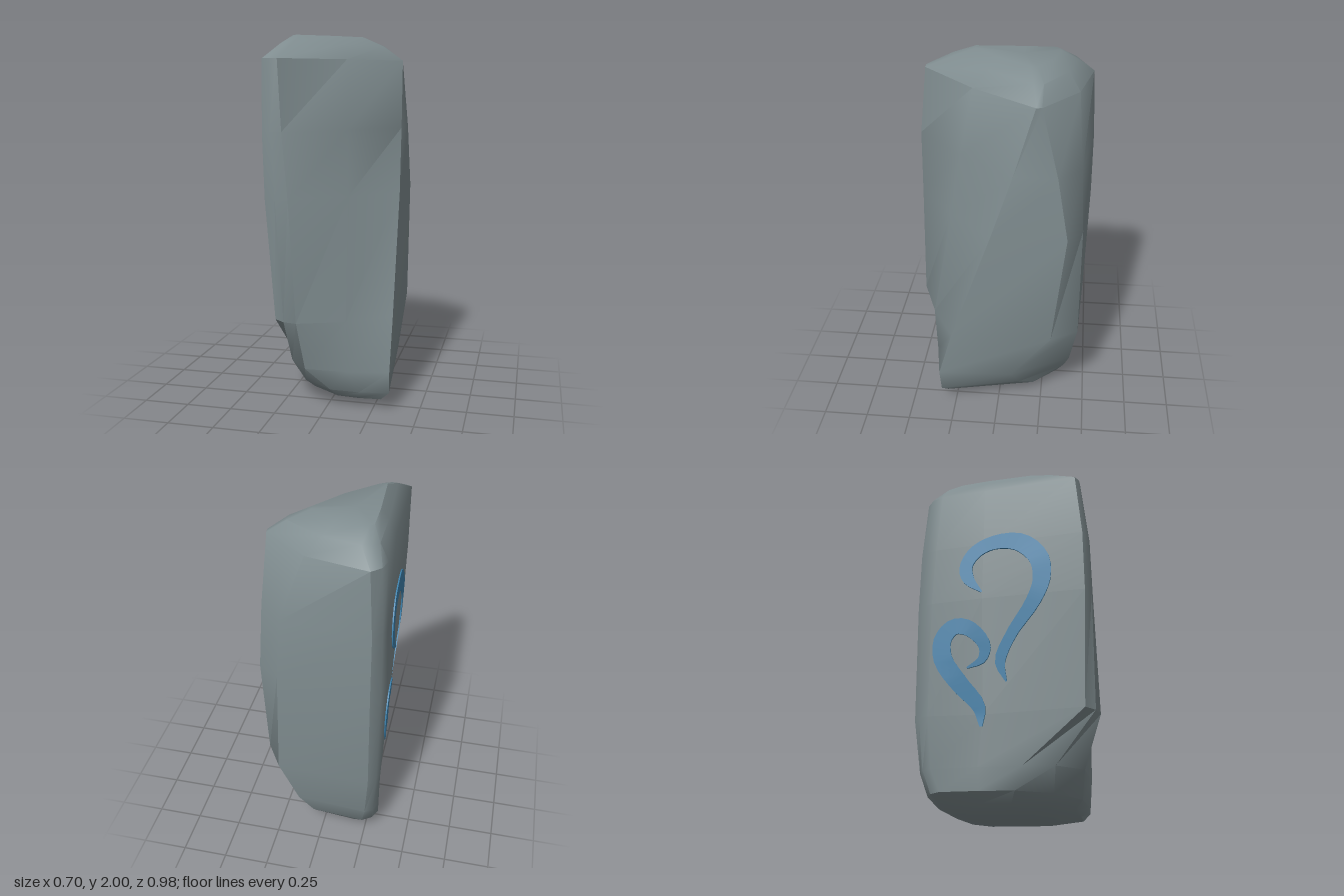
import * as THREE from 'three';
import { toCreasedNormals } from 'three/addons/utils/BufferGeometryUtils.js';

// Stone cross-sections, bottom to top: height, then eight [x, z] corners
// running from the back left, along the back, right, front and left sides
const SECTIONS = [
  [0.05, [[-0.25, -0.28], [-0.18, -0.36], [0.05, -0.34], [0.18, -0.2], [0.29, 0.3], [0.05, 0.3], [-0.2, 0.03], [-0.23, -0.12]]],
  [0.1, [[-0.32, -0.31], [-0.24, -0.4], [0.06, -0.38], [0.24, -0.12], [0.34, 0.33], [0.02, 0.35], [-0.25, 0.06], [-0.29, -0.12]]],
  [0.22, [[-0.325, -0.36], [-0.26, -0.44], [0.14, -0.41], [0.32, -0.08], [0.343, 0.34], [-0.11, 0.39], [-0.26, 0.1], [-0.295, -0.12]]],
  [0.5, [[-0.335, -0.385], [-0.28, -0.475], [0.24, -0.45], [0.335, -0.3], [0.345, 0.26], [-0.13, 0.487], [-0.26, 0.43], [-0.285, -0.1]]],
  [1.15, [[-0.35, -0.385], [-0.28, -0.49], [0.22, -0.45], [0.335, -0.37], [0.338, 0.035], [-0.17, 0.48], [-0.3, 0.46], [-0.34, -0.1]]],
  [1.5, [[-0.338, -0.38], [-0.28, -0.488], [0.2, -0.43], [0.325, -0.31], [0.325, -0.08], [-0.2, 0.48], [-0.31, 0.46], [-0.33, -0.1]]],
  [1.87, [[-0.325, -0.36], [-0.26, -0.47], [0.07, -0.4], [0.305, -0.22], [0.31, -0.19], [-0.23, 0.445], [-0.315, 0.43], [-0.32, -0.1]]],
  [1.95, [[-0.28, -0.34], [-0.2, -0.38], [0, -0.34], [0.2, -0.22], [0.2, -0.17], [-0.2, 0.28], [-0.26, 0.29], [-0.28, -0.1]]],
];

// Edges that swell outward: [first corner, swell as a share of the edge length]
const SWELLS = new Map([[0, 0.14], [4, 0.04], [5, 0.12]]);

// Swirls: [z, y, width] along each centre line
const STROKES = {
  upperSwirl: [[-0.1, 1.188, 0.008], [-0.18, 1.28, 0.065], [-0.195, 1.366, 0.075], [-0.14, 1.455, 0.085],
    [-0.035, 1.5, 0.09], [0.11, 1.482, 0.11], [0.215, 1.371, 0.11], [0.23, 1.234, 0.095],
    [0.18, 1.104, 0.08], [0.058, 0.927, 0.06], [-0.004, 0.78, 0.055], [0.027, 0.666, 0.008]],
  lowerSwirl: [[-0.18, 0.754, 0.008], [-0.1, 0.8, 0.045], [-0.087, 0.877, 0.065], [-0.162, 0.972, 0.085],
    [-0.25, 0.995, 0.095], [-0.312, 0.93, 0.1], [-0.31, 0.813, 0.1], [-0.223, 0.673, 0.095],
    [-0.122, 0.545, 0.07], [-0.107, 0.433, 0.015]],
};

function geometryFrom(position, index, crease) {
  const geometry = new THREE.BufferGeometry();
  geometry.setAttribute('position', new THREE.Float32BufferAttribute(position, 3));
  geometry.setIndex(index);
  return toCreasedNormals(geometry, crease);
}

// Add a swollen midpoint to the rounded edges of one cross-section
function roundRing(ring) {
  return ring.flatMap(([x, z], i) => {
    if (!SWELLS.has(i)) return [[x, z]];
    const [x2, z2] = ring[(i + 1) % ring.length];
    const s = SWELLS.get(i);
    return [[x, z], [(x + x2) / 2 + (z2 - z) * s, (z + z2) / 2 - (x2 - x) * s]];
  });
}

// Shrink a cross-section towards a centre to finish an end
const shrink = (ring, f, cx, cz) => ring.map(([x, z]) => [cx + (x - cx) * f, cz + (z - cz) * f]);

// Skin the cross-sections and close both ends with a fan
function stoneGeometry() {
  const rings = SECTIONS.map(([y, ring]) => [y, roundRing(ring)]);
  rings.unshift([0.01, shrink(rings[0][1], 0.6, 0, -0.1)]);
  rings.push([2, shrink(rings[rings.length - 1][1], 0.68, -0.15, -0.1)]);
  const n = rings[0][1].length;
  const position = rings.flatMap(([y, ring]) => ring.flatMap(([x, z]) => [x, y, z]));
  const last = (rings.length - 1) * n;
  const bottom = last + n, top = bottom + 1;
  position.push(0, 0, -0.1, -0.12, 2, -0.1);
  const index = [];
  for (let k = 0; k < n; k++) {
    const next = (k + 1) % n;
    for (let r = 0; r < last; r += n) {
      const a = r + k, b = r + next;
      index.push(a, a + n, b, b, a + n, b + n);
    }
    index.push(bottom, k, next, top, last + next, last + k);
  }
  return geometryFrom(position, index, 0.7);
}

// Raised ribbon that follows the left-hand face of the stone
function ribbon(points, stone) {
  const ray = new THREE.Raycaster();
  const along = new THREE.Vector3(1, 0, 0);
  const surfaceX = (y, z) => {
    ray.set(new THREE.Vector3(-2, y, z), along);
    return ray.intersectObject(stone)[0].point.x;
  };
  const curve = new THREE.CatmullRomCurve3(points.map(([z, y, w]) => new THREE.Vector3(z, y, w)));
  const steps = points.length * 3;
  const position = [], index = [];
  for (let i = 0; i <= steps; i++) {
    const p = curve.getPoint(i / steps);
    const t = curve.getTangent(i / steps);
    const len = Math.hypot(t.x, t.y);
    const half = Math.max(p.z, 0.006) / 2;
    const dz = -t.y / len * half, dy = t.x / len * half;
    for (const [side, lift] of [[1, -0.002], [1, 0.007], [-1, 0.007], [-1, -0.002]]) {
      const y = p.y + side * dy, z = p.x + side * dz;
      position.push(surfaceX(y, z) - lift, y, z);
    }
    if (i === steps) continue;
    for (let k = 0; k < 3; k++) {
      const a = i * 4 + k, b = a + 4;
      index.push(a, a + 1, b, b, a + 1, b + 1);
    }
  }
  return geometryFrom(position, index, 0.6);
}

export function createModel() {
  const group = new THREE.Group();
  group.name = 'runeStone';
  const stoneGrey = new THREE.MeshStandardMaterial({ color: 0x7f8c8f });
  stoneGrey.name = 'stone grey';
  const runeBlue = new THREE.MeshStandardMaterial({ color: 0x3f83ae, side: THREE.DoubleSide });
  runeBlue.name = 'rune blue';

  // Worn standing block
  const stone = new THREE.Mesh(stoneGeometry(), stoneGrey);
  stone.name = 'stoneBlock';
  group.add(stone);

  // Painted swirls
  for (const [name, points] of Object.entries(STROKES)) {
    const mesh = new THREE.Mesh(ribbon(points, stone), runeBlue);
    mesh.name = name;
    group.add(mesh);
  }
  return group;
}
